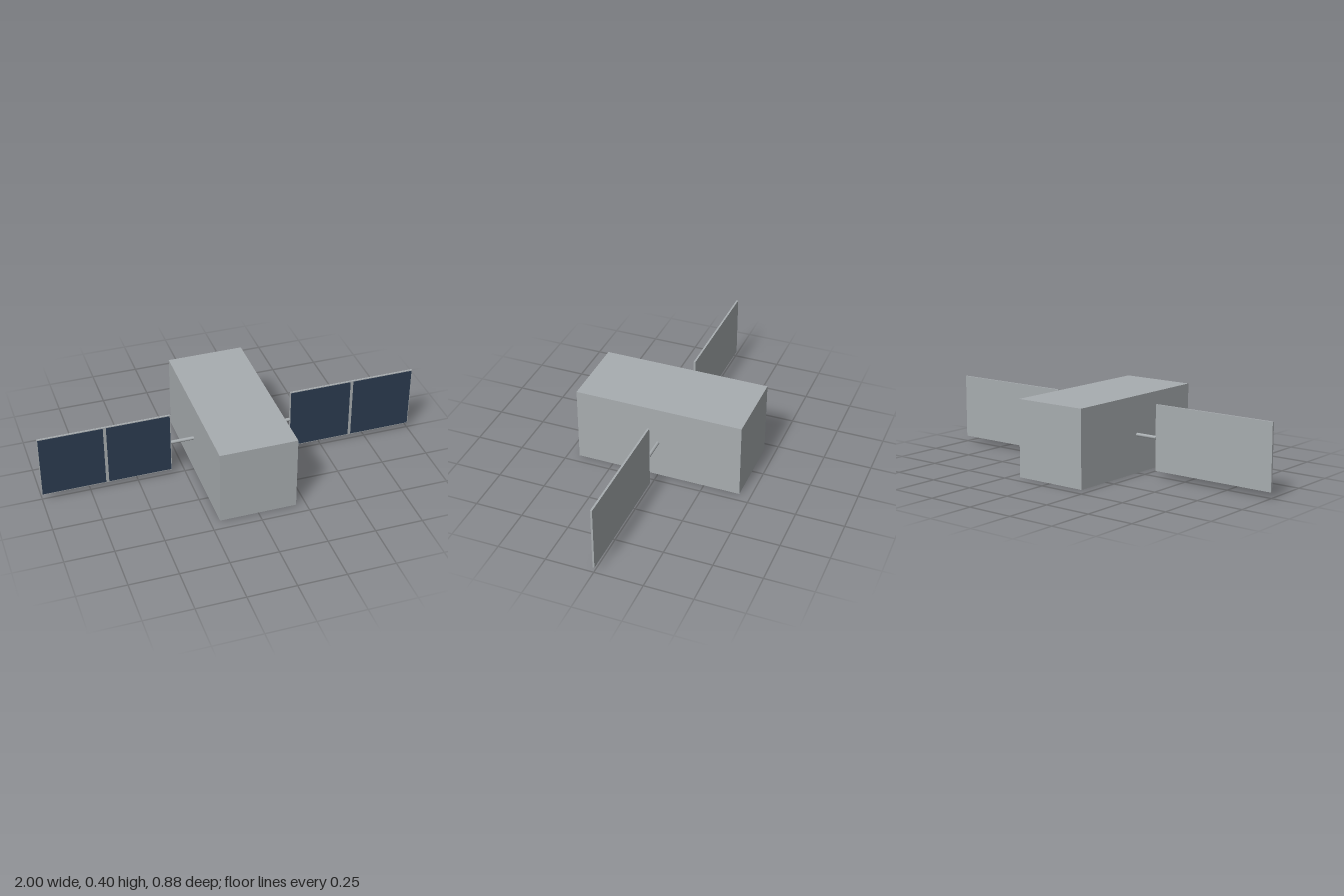
import * as THREE from 'three';

export function createModel() {
  const model = new THREE.Group();
  model.name = 'satellite';
  const metal = new THREE.MeshStandardMaterial({ name: 'grey metal', color: 0xa8adb0 });
  const cellBlue = new THREE.MeshStandardMaterial({ name: 'dark blue cells', color: 0x2c3b50 });

  const add = (parent, name, geometry, material, x, y, z) => {
    const mesh = new THREE.Mesh(geometry, material);
    mesh.name = name;
    mesh.position.set(x, y, z);
    parent.add(mesh);
    return mesh;
  };

  const midY = 0.2;
  add(model, 'body', new THREE.BoxGeometry(0.4, 0.4, 0.88), metal, 0, midY, 0);

  // One boom and solar wing on each side
  for (const [side, s] of [['left', 1], ['right', -1]]) {
    const wing = new THREE.Group();
    wing.name = side + 'Wing';
    model.add(wing);

    const boom = add(wing, side + 'Boom', new THREE.CylinderGeometry(0.009, 0.009, 0.13, 12), metal, s * 0.257, midY, 0);
    boom.rotation.z = Math.PI / 2;

    add(wing, side + 'Panel', new THREE.BoxGeometry(0.68, 0.34, 0.01), metal, s * 0.66, midY, 0);

    // Two solar cell plates on the front face, with a gap between them
    for (const offset of [-0.172, 0.172]) {
      add(wing, side + 'SolarCells', new THREE.BoxGeometry(0.328, 0.332, 0.002), cellBlue, s * 0.66 + offset, midY, 0.0055);
    }
  }
  return model;
}
